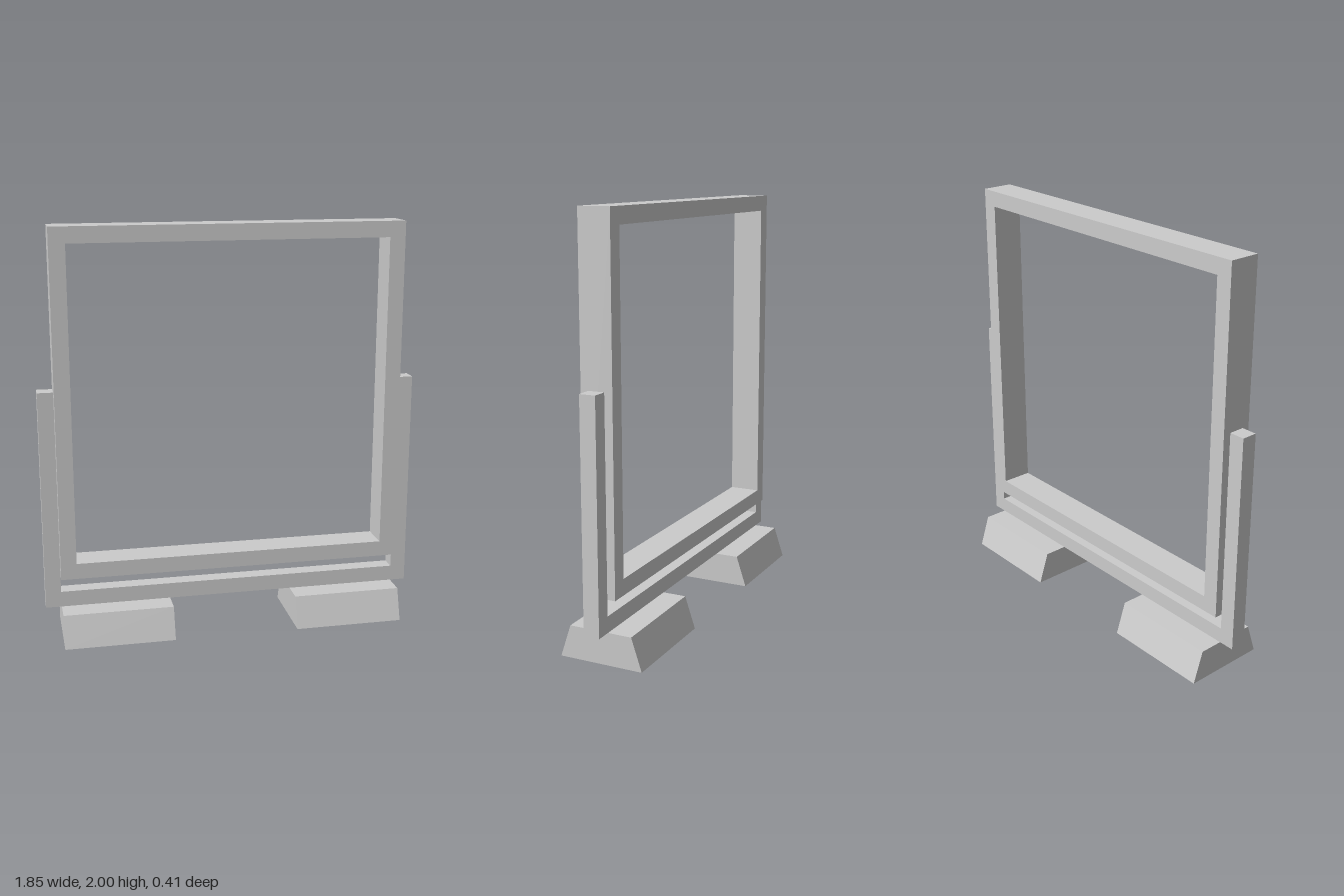
import * as THREE from 'three';

const material = new THREE.MeshStandardMaterial({ color: 0xcccccc, flatShading: true });

// Polygon extruded along z and centred on z = 0
function extrude(name, points, depth, hole) {
  const toVectors = (list) => list.map(([x, y]) => new THREE.Vector2(x, y));
  const shape = new THREE.Shape(toVectors(points));
  if (hole) shape.holes.push(new THREE.Path(toVectors(hole)));
  const geometry = new THREE.ExtrudeGeometry(shape, { depth, bevelEnabled: false });
  geometry.translate(0, 0, -depth / 2);
  const mesh = new THREE.Mesh(geometry, material);
  mesh.name = name;
  return mesh;
}

const rectangle = (halfWidth, bottom, top) => [
  [-halfWidth, bottom], [halfWidth, bottom], [halfWidth, top], [-halfWidth, top],
];

export function createModel() {
  const model = new THREE.Group();
  model.name = 'standingFrame';

  // Square open frame
  model.add(extrude('frame', rectangle(0.846, 0.308, 2), 0.154, rectangle(0.769, 0.385, 1.923)));

  // U-shaped bracket: bottom rail and two side posts
  model.add(extrude('bracket', [
    [-0.923, 0.154], [0.923, 0.154], [0.923, 1.231], [0.847, 1.231],
    [0.847, 0.231], [-0.847, 0.231], [-0.847, 1.231], [-0.923, 1.231],
  ], 0.077));

  // Feet with sloped front and back
  for (const [name, side] of [['leftFoot', 1], ['rightFoot', -1]]) {
    const foot = extrude(name, [[-0.205, 0], [0.205, 0], [0.154, 0.154], [-0.154, 0.154]], 0.538);
    foot.rotation.y = Math.PI / 2;
    foot.position.x = side * 0.577;
    model.add(foot);
  }

  return model;
}
